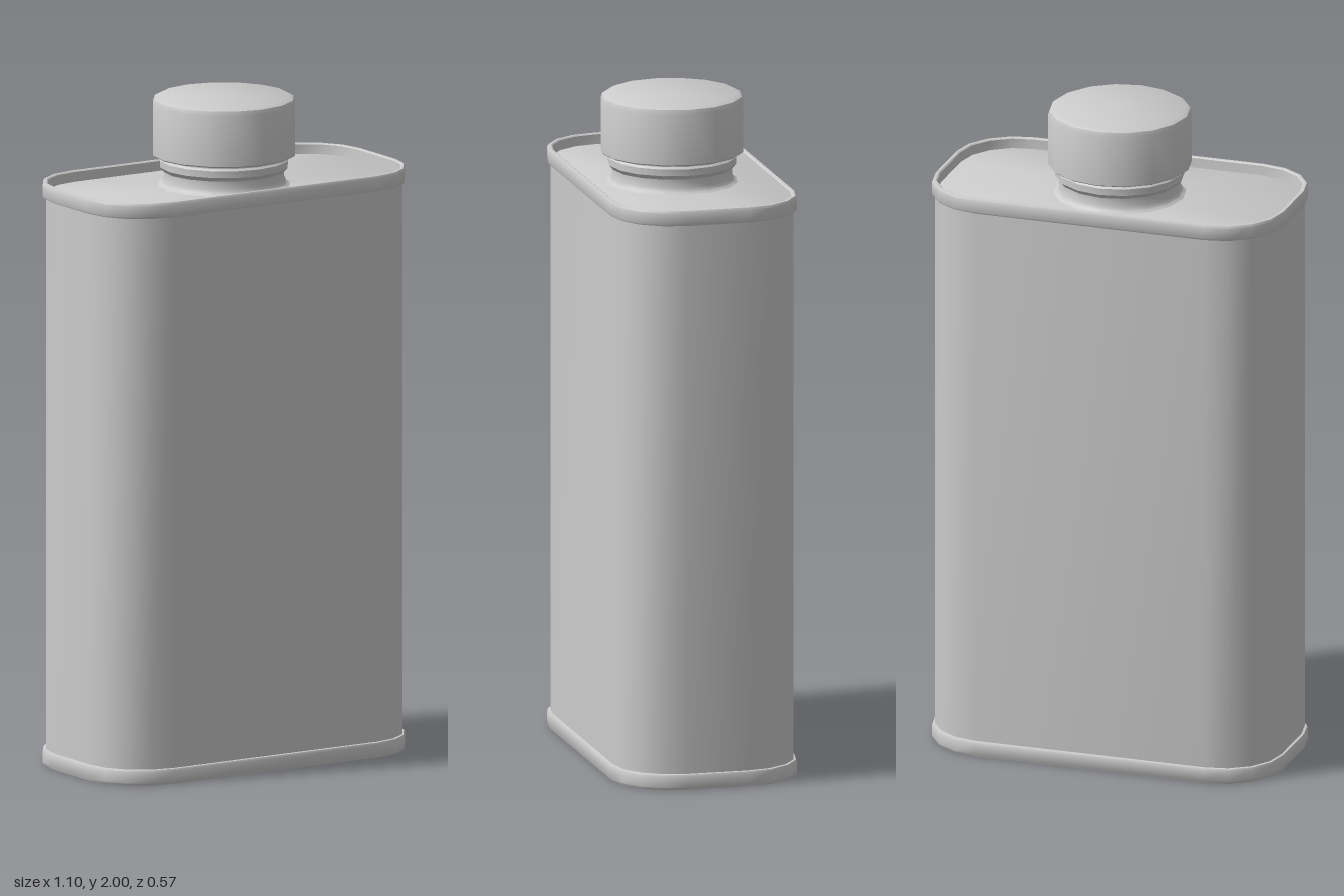
import * as THREE from 'three';
import { toCreasedNormals } from 'three/addons/utils/BufferGeometryUtils.js';

const material = new THREE.MeshStandardMaterial({ color: 0xcccccc });
const CREASE = 0.6;

// Rounded rectangle ring, pulled inwards by inset, at height y
function ring(inset, y) {
  const cx = 0.358, cz = 0.095, r = 0.19 - inset, points = [];
  for (let corner = 0; corner < 4; corner++) {
    const sx = corner === 0 || corner === 3 ? 1 : -1;
    const sz = corner < 2 ? 1 : -1;
    for (let i = 0; i <= 4; i++) {
      const a = (corner + i / 4) * Math.PI / 2;
      points.push([sx * cx + r * Math.cos(a), y, sz * cz + r * Math.sin(a)]);
    }
  }
  return points;
}

// Skin over rings listed from bottom to top, with optional flat end panels
function loft(profile, capped) {
  const rings = profile.map(([inset, y]) => ring(inset, y));
  const n = rings[0].length, index = [];
  const positions = rings.flat(2);
  for (let j = 0; j < rings.length - 1; j++) {
    for (let i = 0; i < n; i++) {
      const k = (i + 1) % n, a = j * n + i, b = j * n + k;
      index.push(a, a + n, b, b, a + n, b + n);
    }
  }
  if (capped) {
    const last = (rings.length - 1) * n, centre = rings.length * n;
    positions.push(0, profile[0][1], 0, 0, profile[profile.length - 1][1], 0);
    for (let i = 0; i < n; i++) {
      const k = (i + 1) % n;
      index.push(centre, i, k, centre + 1, last + k, last + i);
    }
  }
  const geometry = new THREE.BufferGeometry();
  geometry.setAttribute('position', new THREE.Float32BufferAttribute(positions, 3));
  geometry.setIndex(index);
  return toCreasedNormals(geometry, CREASE);
}

function lathe(profile) {
  const points = profile.map(([r, y]) => new THREE.Vector2(r, y));
  return toCreasedNormals(new THREE.LatheGeometry(points, 16), CREASE);
}

export function createModel() {
  const model = new THREE.Group();
  const add = (name, geometry) => {
    const mesh = new THREE.Mesh(geometry, material);
    mesh.name = name;
    model.add(mesh);
  };

  // Tin body with its recessed base and top panels
  add('canBody', loft([[0.018, 0.03], [0.01, 0.035], [0.01, 1.728], [0.018, 1.732]], true));

  // Folded rims: inner wall, rolled outer edge and back to the body
  add('bottomRim', loft([
    [0.018, 0.03], [0.016, 0.003], [0.012, 0], [0.004, 0], [0, 0.007],
    [0, 0.04], [0.003, 0.046], [0.01, 0.047],
  ]));
  add('topRim', loft([
    [0.01, 1.717], [0.003, 1.718], [0, 1.724], [0, 1.757], [0.004, 1.764],
    [0.012, 1.764], [0.016, 1.761], [0.018, 1.732],
  ]));

  // Pouring neck with a raised bead below the cap
  add('neck', lathe([
    [0.2, 1.731], [0.188, 1.738], [0.182, 1.75], [0.182, 1.775], [0.193, 1.788],
    [0.193, 1.808], [0.186, 1.814], [0.186, 1.825],
  ]));

  // Screw cap
  add('cap', lathe([
    [0, 1.822], [0.21, 1.822], [0.215, 1.826], [0.215, 1.98],
    [0.21, 1.993], [0.197, 2], [0, 2],
  ]));

  return model;
}
